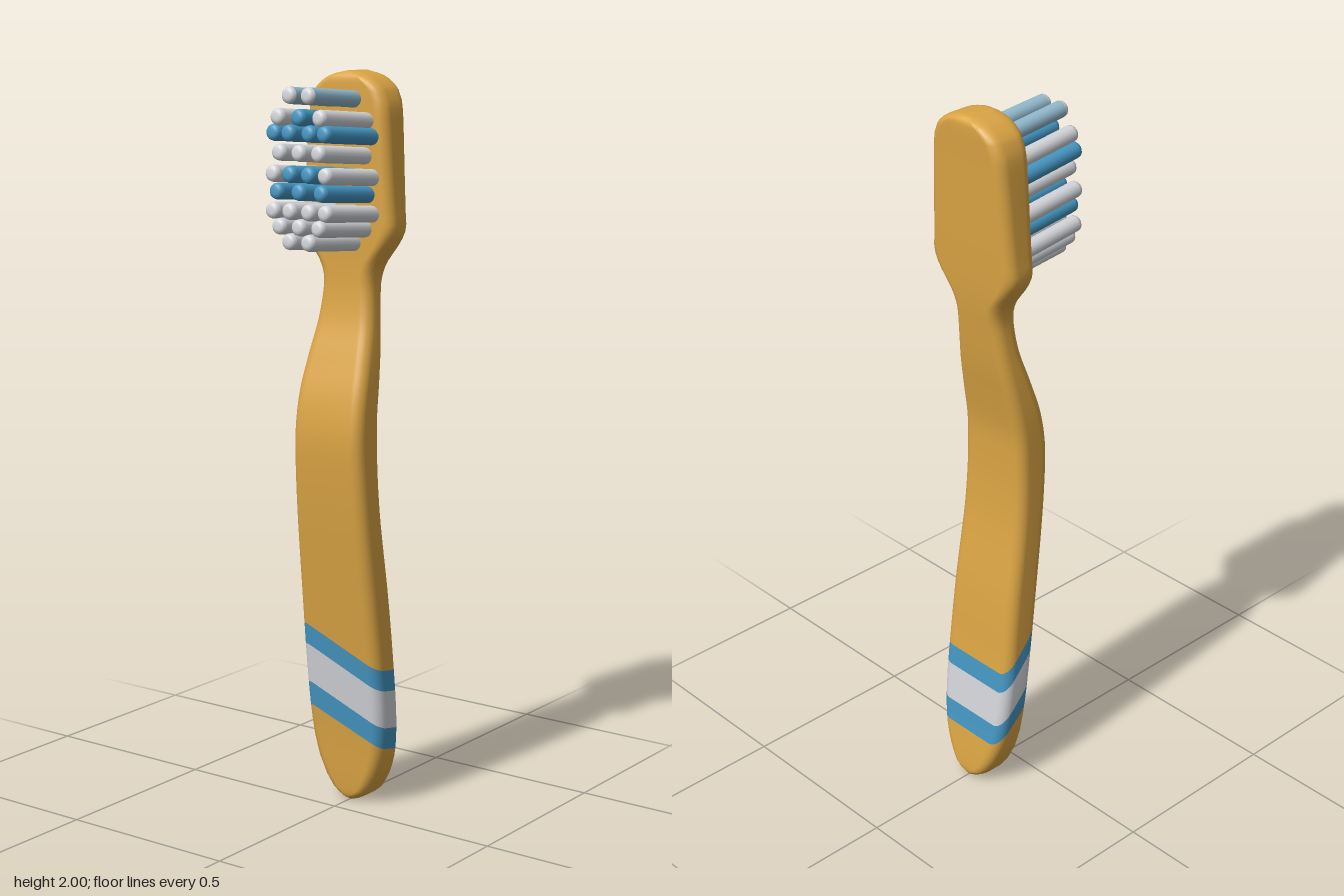
import * as THREE from 'three';

const mat = (name, color) => Object.assign(new THREE.MeshStandardMaterial({ color }), { name });

// Smooth curve through [y, value] points
function curve(points) {
  const slope = (i) => {
    const a = points[Math.max(i - 1, 0)], b = points[Math.min(i + 1, points.length - 1)];
    return (b[1] - a[1]) / (b[0] - a[0]);
  };
  return (y) => {
    let i = 0;
    while (i < points.length - 2 && y > points[i + 1][0]) i++;
    const [y0, v0] = points[i], [y1, v1] = points[i + 1], h = y1 - y0;
    const t = THREE.MathUtils.clamp((y - y0) / h, 0, 1), u = 1 - t;
    return v0 * u * u * (1 + 2 * t) + v1 * t * t * (3 - 2 * t)
      + h * t * u * (slope(i) * u - slope(i + 1) * t);
  };
}

// Outline of the body: half width, front edge and back edge by height
const halfWidth = curve([[0, 0.006], [0.004, 0.022], [0.012, 0.037], [0.03, 0.06], [0.08, 0.09],
  [0.15, 0.113], [0.25, 0.124], [0.4, 0.126], [0.6, 0.122], [0.8, 0.117], [1, 0.112], [1.15, 0.108],
  [1.25, 0.1], [1.35, 0.088], [1.42, 0.081], [1.46, 0.081], [1.5, 0.094], [1.55, 0.13], [1.58, 0.146],
  [1.6, 0.15], [1.63, 0.147], [1.75, 0.138], [1.85, 0.131], [1.92, 0.123], [1.955, 0.107],
  [1.98, 0.077], [1.994, 0.044], [2, 0.01]]);
const frontEdge = curve([[0, -0.075], [0.008, -0.063], [0.03, -0.057], [0.2, -0.043], [0.4, -0.02],
  [0.6, 0.005], [0.8, 0.03], [0.95, 0.044], [1.05, 0.047], [1.15, 0.033], [1.25, 0.003],
  [1.35, -0.028], [1.45, -0.04], [1.6, -0.04], [1.97, -0.041], [1.99, -0.046], [2, -0.06]]);
const backEdge = curve([[0, -0.148], [0.008, -0.16], [0.03, -0.164], [0.2, -0.145], [0.4, -0.122],
  [0.6, -0.1], [0.8, -0.072], [0.9, -0.063], [1, -0.06], [1.1, -0.063], [1.2, -0.08], [1.3, -0.1],
  [1.4, -0.115], [1.5, -0.128], [1.6, -0.135], [1.9, -0.15], [1.97, -0.154], [1.99, -0.152], [2, -0.14]]);

// Lofted rounded-rectangle body; rings slant across the front so the stripes do too
function bodyGeometry() {
  const corner = 6, count = 4 * (corner + 1);
  const rows = [0, 0.002, 0.005, 0.01, 0.018, 0.03, 0.05, 0.075, 0.1, 0.125, 0.15, 0.18, 0.215, 0.25, 0.29,
    0.325, 0.355, 0.385];
  for (let y = 0.425; y < 1.94; y += 0.02) rows.push(y);
  rows.push(1.95, 1.96, 1.97, 1.98, 1.987, 1.993, 1.997, 2);
  const positions = [], index = [], colours = [];

  for (const t of rows) {
    const fade = THREE.MathUtils.smoothstep(t, 0.02, 0.15) * (1 - THREE.MathUtils.smoothstep(t, 0.385, 0.85));
    for (let q = 0; q < 4; q++) {
      const sx = q === 0 || q === 3 ? 1 : -1, sz = q < 2 ? 1 : -1;
      for (let k = 0; k <= corner; k++) {
        const a = (q + k / corner) * Math.PI / 2;
        const place = (y) => {
          const w = halfWidth(y), f = frontEdge(y), b = backEdge(y), d = (f - b) / 2;
          const r = Math.min(0.032, w * 0.95, d * 0.8);
          return [sx * (w - r) + r * Math.cos(a), y, (f + b) / 2 + sz * (d - r) + r * Math.sin(a)];
        };
        const [x, , z] = place(t);
        const forward = (z - backEdge(t)) / (frontEdge(t) - backEdge(t));
        positions.push(...place(t + fade * forward * (0.075 - 0.44 * x)));
      }
    }
  }
  for (let i = 0; i < rows.length - 1; i++) {
    const m = (rows[i] + rows[i + 1]) / 2;
    colours.push(m < 0.15 || m > 0.385 ? 0 : m > 0.215 && m < 0.325 ? 2 : 1);
    for (let j = 0; j < count; j++) {
      const a = i * count + j, b = i * count + (j + 1) % count;
      index.push(a, a + count, b, b, a + count, b + count);
    }
  }
  // End caps
  const bottom = positions.length / 3, last = (rows.length - 1) * count;
  positions.push(0, 0, -0.112, 0, 2, -0.1);
  for (let j = 0; j < count; j++) {
    const n = (j + 1) % count;
    index.push(bottom, j, n, bottom + 1, last + n, last + j);
  }
  const geo = new THREE.BufferGeometry();
  geo.setAttribute('position', new THREE.Float32BufferAttribute(positions, 3));
  geo.setIndex(index);
  geo.computeVertexNormals();
  colours.forEach((c, i) => geo.addGroup(i * count * 6, count * 6, c));
  geo.addGroup(colours.length * count * 6, count * 6, 0);
  return geo;
}

export function createModel() {
  const model = new THREE.Group();
  model.name = 'toothbrush';
  const amber = mat('amber', 0xdba544), blue = mat('blue', 0x4596c2);
  const white = mat('white', 0xd2d4d8), paleBlue = mat('paleBlue', 0x92b9cd);

  const body = new THREE.Mesh(bodyGeometry(), [amber, blue, white]);
  body.name = 'handleAndHead';
  model.add(body);

  // Bristle tufts: shaft plus a softly rounded tip, along +y before aiming
  const R = 0.022, L = 0.225;
  const lathe = (pts) => new THREE.LatheGeometry(pts.map((p) => new THREE.Vector2(...p)), 14);
  const shaft = lathe([[R, 0], [R, L - 0.014]]);
  const tip = lathe([[R, L - 0.014], [R * 0.93, L - 0.007], [R * 0.7, L - 0.002], [R * 0.4, L], [0, L]]);
  const bristles = new THREE.Group();
  bristles.name = 'bristles';
  model.add(bristles);

  function tuft(x, y, shaftMat, tipMat) {
    const base = new THREE.Vector3(x * 1.12, y - 0.018, -0.06);
    const end = new THREE.Vector3(x, y, 0.164);
    const group = new THREE.Group();
    group.name = 'bristleTuft';
    group.add(new THREE.Mesh(shaft, shaftMat), new THREE.Mesh(tip, tipMat));
    group.children[0].name = 'tuftShaft';
    group.children[1].name = 'tuftTip';
    group.position.copy(base);
    group.quaternion.setFromUnitVectors(new THREE.Vector3(0, 1, 0), end.sub(base).normalize());
    bristles.add(group);
  }

  // Rows: height, inner offset and colour, outer offset and colour
  const rows = [
    [1.945, 0.03, paleBlue], [1.89, 0, blue, 0.066, white], [1.85, 0.032, blue, 0.08, blue],
    [1.8, 0, white, 0.062, white], [1.745, 0.03, blue, 0.083, white], [1.7, 0, blue, 0.07, blue],
    [1.65, 0.03, white, 0.083, white], [1.61, 0, white, 0.062, white], [1.572, 0.03, white],
  ];
  for (const [y, inner, innerMat, outer, outerMat] of rows) {
    const innerTip = innerMat === paleBlue ? white : innerMat;
    for (const s of inner ? [-1, 1] : [1]) tuft(s * inner, y, innerMat, innerTip);
    if (outer) for (const s of [-1, 1]) tuft(s * outer, y, outerMat, outerMat);
  }
  return model;
}
